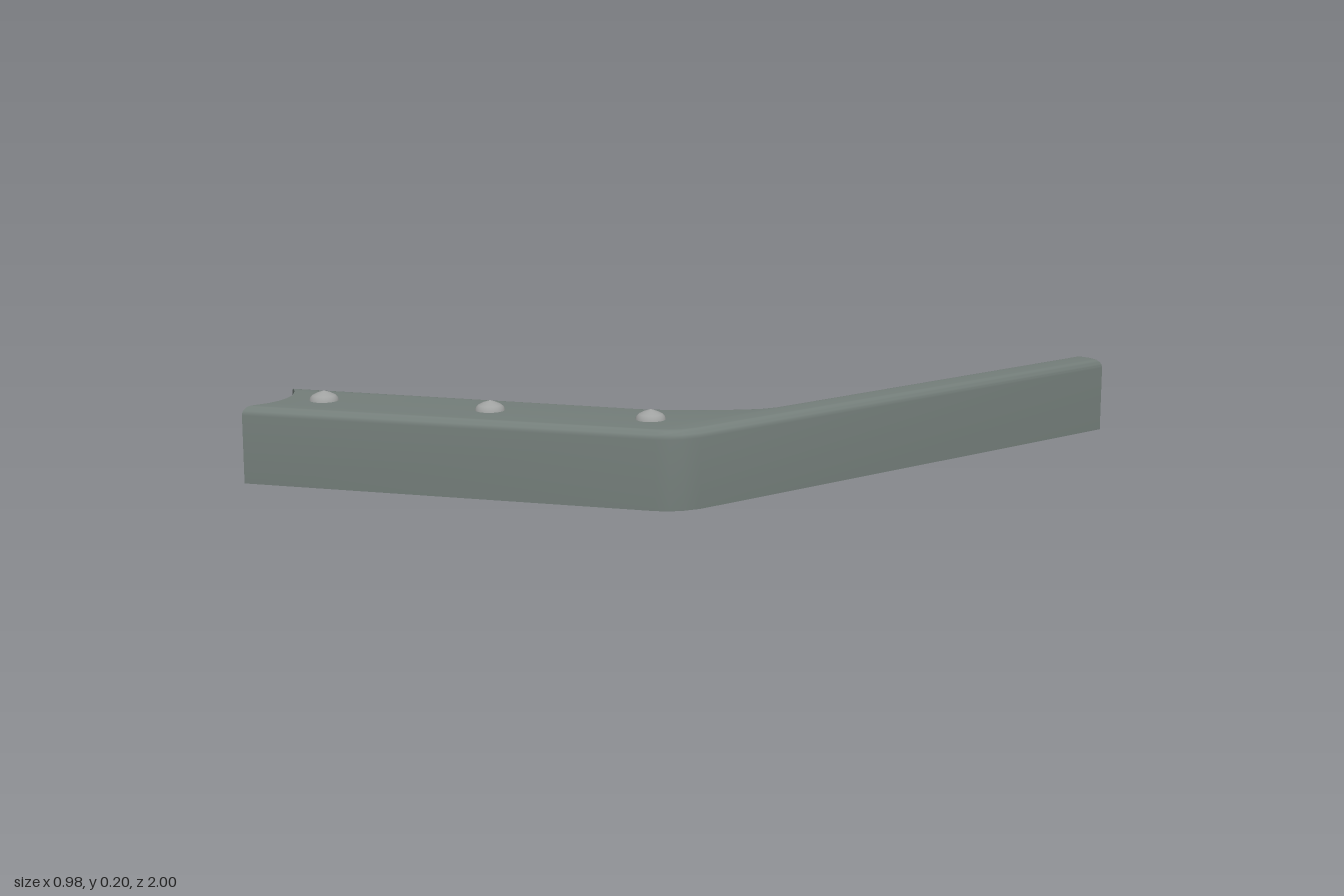
import * as THREE from 'three';
import { toCreasedNormals } from 'three/addons/utils/BufferGeometryUtils.js';

const HEIGHT = 0.18, BEVEL = 0.02, STEPS = 6;

// Plan outline [x, z]; the first NOTCH points form the concave end.
const NOTCH = 7;
const outline = [
  [-0.49, 0.793], [-0.44, 0.815], [-0.405, 0.84], [-0.38, 0.87], [-0.365, 0.9], [-0.357, 0.93], [-0.357, 1],
  [0.44, 0.425], [0.462, 0.403], [0.477, 0.375], [0.487, 0.335],
  [0.487, -0.985], [0.471, -0.995], [0.443, -1], [0.415, -0.995], [0.399, -0.985],
  [0.399, 0.045], [0.391, 0.08], [0.37, 0.12], [0.322, 0.188], [0.27, 0.25], [0.225, 0.292],
].map(([x, z]) => new THREE.Vector2(x, z));

// Inward shift of each outline point for a bevel of width 1.
function insetDirections(pts) {
  const n = pts.length;
  const dir = (a, b) => b.clone().sub(a).normalize();
  const inward = (d) => new THREE.Vector2(d.y, -d.x);
  return pts.map((p, i) => {
    const prev = pts[(i + n - 1) % n], next = pts[(i + 1) % n];
    const n0 = inward(dir(prev, p)), n1 = inward(dir(p, next));
    if (i > 0 && i < NOTCH - 1) return new THREE.Vector2();
    // the two notch tips slide along the notch, so its cut stays sharp
    if (i === 0 || i === NOTCH - 1) {
      const along = i === 0 ? dir(p, next) : dir(p, prev);
      return along.multiplyScalar(1 / along.dot(i === 0 ? n0 : n1));
    }
    return n0.clone().add(n1).divideScalar(1 + n0.dot(n1));
  });
}

// Open-bottomed shell: walls, rounded upper edge and flat top.
function shellGeometry() {
  const dirs = insetDirections(outline);
  const ring = (inset, y) => outline.map((p, i) =>
    [p.x + dirs[i].x * inset, y, p.y + dirs[i].y * inset]);
  const rings = [ring(0, 0)];
  for (let s = 0; s <= STEPS; s++) {
    const a = (s / STEPS) * Math.PI / 2;
    rings.push(ring(BEVEL * (1 - Math.cos(a)), HEIGHT - BEVEL * (1 - Math.sin(a))));
  }
  const n = outline.length, index = [];
  for (let r = 0; r < rings.length - 1; r++) {
    for (let i = 0; i < n; i++) {
      const a = r * n + i, b = r * n + (i + 1) % n;
      index.push(a, b, b + n, a, b + n, a + n);
    }
  }
  const topStart = (rings.length - 1) * n;
  const contour = rings[rings.length - 1].map(([x, , z]) => new THREE.Vector2(x, -z));
  for (const face of THREE.ShapeUtils.triangulateShape(contour, [])) {
    index.push(...face.map((k) => topStart + k));
  }
  const geometry = new THREE.BufferGeometry();
  geometry.setAttribute('position', new THREE.Float32BufferAttribute(rings.flat(2), 3));
  geometry.setIndex(index);
  return toCreasedNormals(geometry, 1.0);
}

export function createModel() {
  const group = new THREE.Group();
  group.name = 'bentLever';

  const bodyGrey = new THREE.MeshStandardMaterial({ color: 0x747e7a, side: THREE.DoubleSide });
  bodyGrey.name = 'bodyGrey';
  const rivetGrey = new THREE.MeshStandardMaterial({ color: 0xa0a2a1, side: THREE.DoubleSide });
  rivetGrey.name = 'rivetGrey';

  const body = new THREE.Mesh(shellGeometry(), bodyGrey);
  body.name = 'leverShell';
  group.add(body);

  // Domed rivets along the wide arm
  const profile = [[0.034, 0], [0.032, 0.007], [0.027, 0.012], [0.015, 0.018], [0, 0.023]]
    .map(([r, y]) => new THREE.Vector2(r, y));
  const dome = new THREE.LatheGeometry(profile, 24);
  [[-0.307, 0.813], [0.028, 0.577], [0.336, 0.355]].forEach(([x, z], i) => {
    const rivet = new THREE.Mesh(dome, rivetGrey);
    rivet.name = `rivet${i + 1}`;
    rivet.position.set(x, HEIGHT, z);
    group.add(rivet);
  });
  return group;
}
